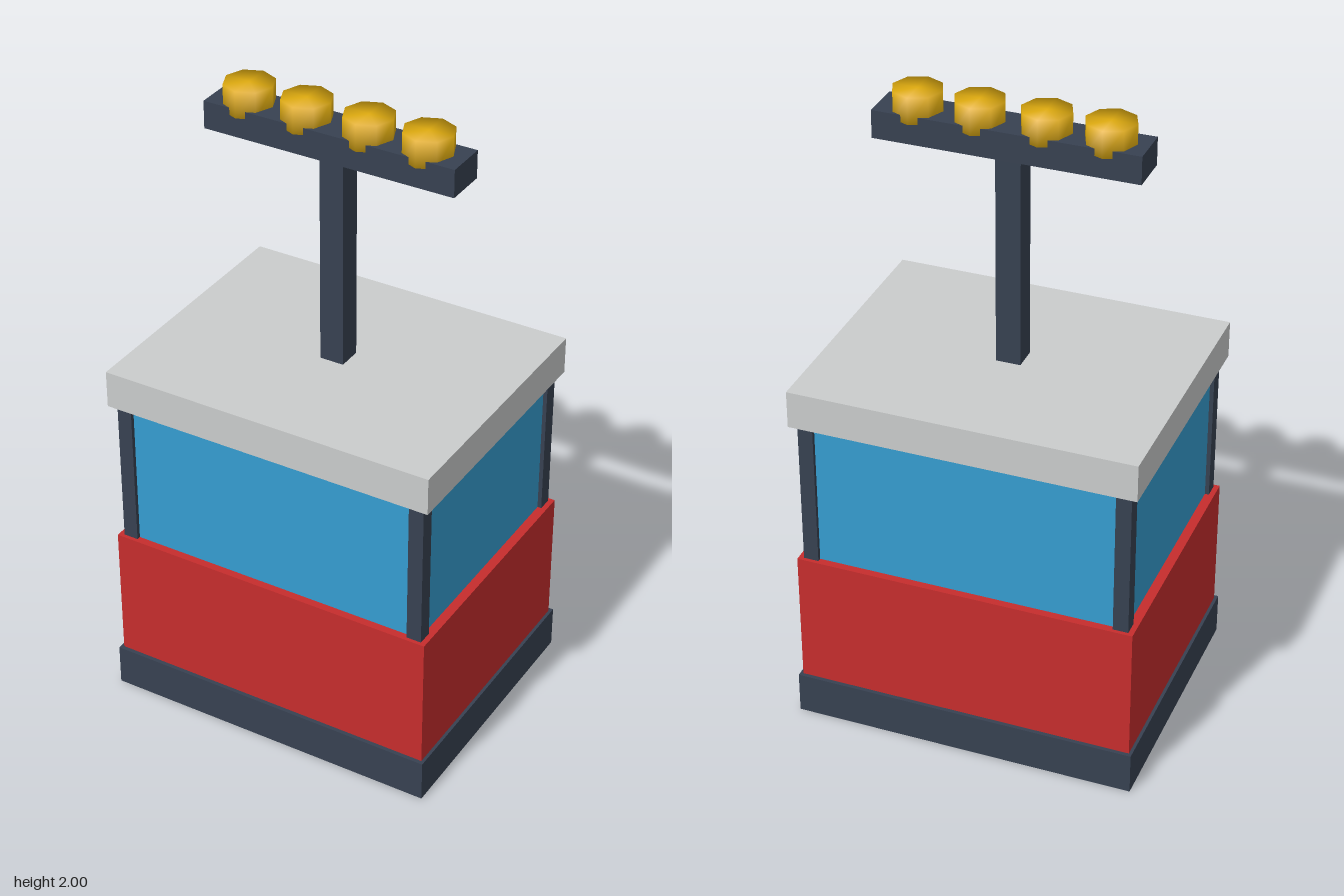
import * as THREE from 'three';
import { mergeVertices } from 'three/addons/utils/BufferGeometryUtils.js';

export function createModel() {
  const model = new THREE.Group();
  model.name = 'cableCarCabin';

  const paint = (name, color) => {
    const m = new THREE.MeshStandardMaterial({ color });
    m.name = name;
    return m;
  };
  const slate = paint('slate', 0x374151);
  const red = paint('red', 0xc62d2d);
  const glass = paint('blueGlass', 0x359dd0);
  const grey = paint('lightGrey', 0xcacccc);
  const gold = paint('gold', 0xe0ac10);

  const add = (name, geometry, material, x, y, z) => {
    const mesh = new THREE.Mesh(geometry, material);
    mesh.name = name;
    mesh.position.set(x, y, z);
    model.add(mesh);
  };
  // Box given by half width, bottom, top and half depth
  const box = (name, material, hx, y0, y1, hz, x = 0, z = 0) =>
    add(name, new THREE.BoxGeometry(hx * 2, y1 - y0, hz * 2), material, x, (y0 + y1) / 2, z);

  // Cabin, stacked from the ground up
  box('base', slate, 0.548, 0, 0.135, 0.436);
  box('lowerBody', red, 0.538, 0.135, 0.573, 0.423);
  box('windows', glass, 0.508, 0.573, 1.05, 0.398);
  box('roof', grey, 0.543, 1.05, 1.17, 0.429);

  // Corner pillars stand slightly proud of the glass
  for (const sx of [-1, 1])
    for (const sz of [-1, 1])
      box('cornerPillar', slate, 0.024, 0.573, 1.05, 0.024, sx * 0.497, sz * 0.387);

  // Hanger and crossbar
  box('hangerPost', slate, 0.039, 1.17, 1.85, 0.039);
  box('crossbar', slate, 0.409, 1.85, 1.938, 0.067);

  // Octagonal rollers with normals shared between cap and side
  let roller = new THREE.CylinderGeometry(0.078, 0.078, 0.084, 8);
  roller.deleteAttribute('uv');
  roller.deleteAttribute('normal');
  roller = mergeVertices(roller);
  roller.computeVertexNormals();
  for (const x of [-0.295, -0.103, 0.1, 0.291]) add('roller', roller, gold, x, 1.958, 0);

  return model;
}
